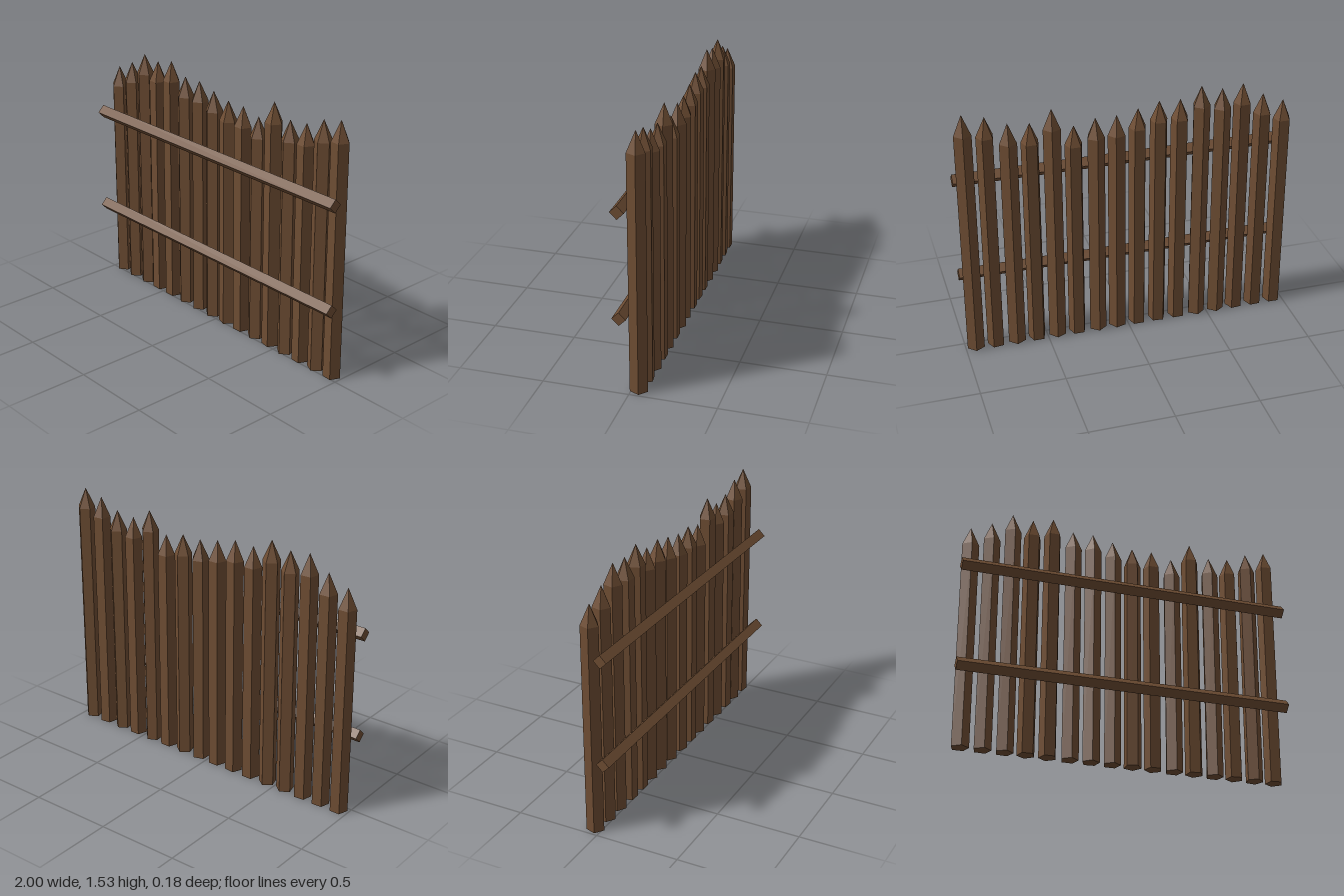
import * as THREE from 'three';

export function createModel() {
  const fence = new THREE.Group();
  fence.name = 'palisadeFence';
  const wood = new THREE.MeshStandardMaterial({ color: 0x6e4d33, flatShading: true });
  wood.name = 'brown wood';

  const RADIUS = 0.053;
  const TIP = 0.12;

  // Each stake: overall height and turn in degrees
  const stakes = [
    [1.375, 0], [1.43, 3], [1.51, 5], [1.495, 33], [1.525, 36], [1.46, 0], [1.465, -5], [1.435, 0],
    [1.41, 17], [1.41, 36], [1.38, 0], [1.5, 25], [1.43, 0], [1.445, 30], [1.5, 8], [1.53, 30],
  ];

  stakes.forEach(([height, turn], i) => {
    const stake = new THREE.Group();
    stake.name = `stake${i + 1}`;

    // Five-sided post
    const shaft = height - TIP;
    const post = new THREE.Mesh(new THREE.CylinderGeometry(RADIUS, RADIUS, shaft, 5), wood);
    post.name = 'post';
    post.position.y = shaft / 2;

    // Sharpened point
    const point = new THREE.Mesh(new THREE.ConeGeometry(RADIUS, TIP, 5, 1, true), wood);
    point.name = 'point';
    point.position.y = shaft + TIP / 2;

    stake.add(post, point);
    stake.position.set(-0.9375 + i * 0.125, 0, -0.04);
    stake.rotation.y = THREE.MathUtils.degToRad(turn);
    fence.add(stake);
  });

  // Two square rails set on edge across the front
  [['lowerRail', 0.46], ['upperRail', 1.085]].forEach(([name, y]) => {
    const rail = new THREE.Mesh(new THREE.CylinderGeometry(0.04, 0.04, 2, 4), wood);
    rail.name = name;
    rail.rotation.z = Math.PI / 2;
    rail.position.set(0, y, 0.05);
    fence.add(rail);
  });

  return fence;
}
